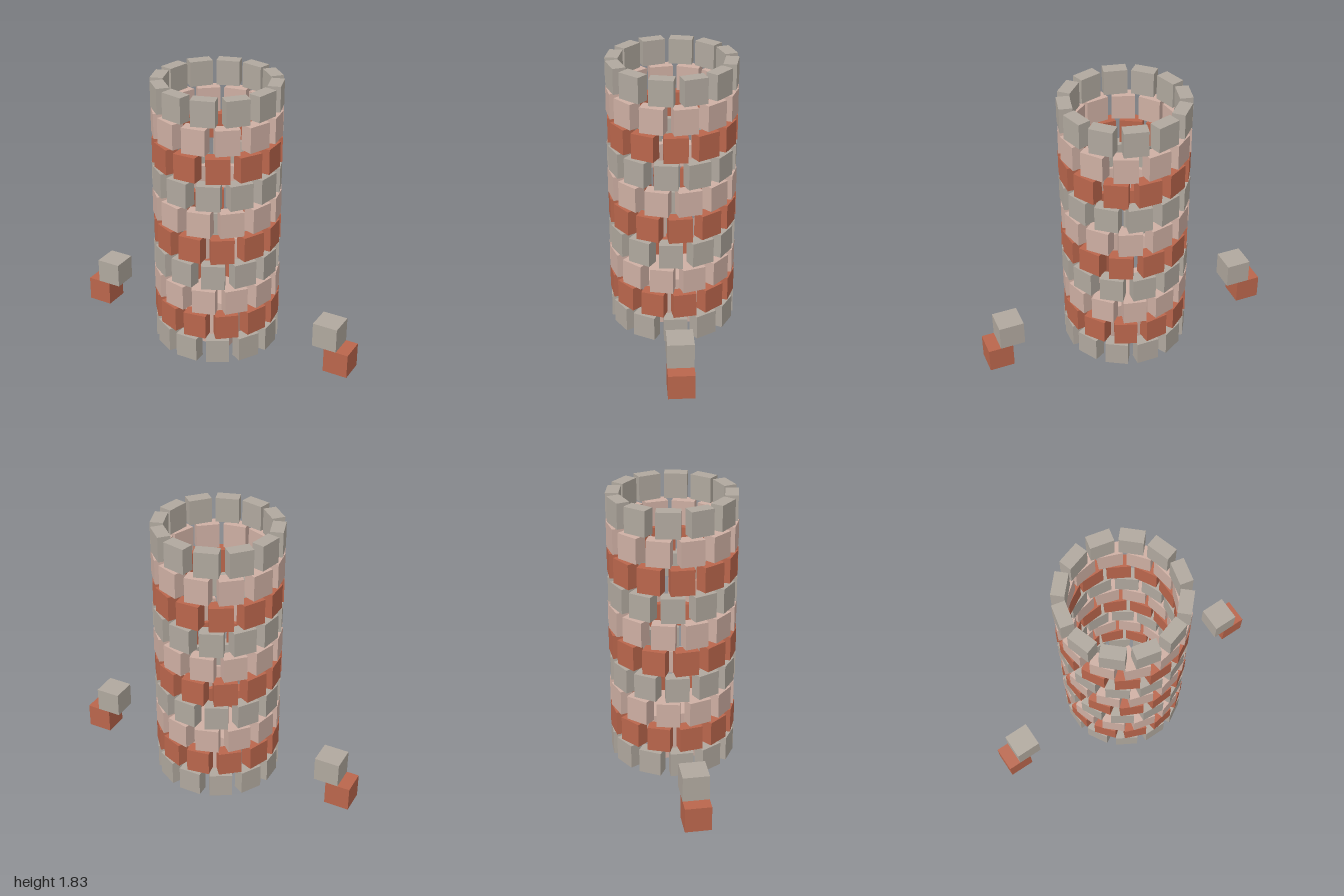
import * as THREE from 'three';

const U = 1 / 6; // side of one loose cube
const RINGS = 10;
const BLOCKS = 12;

export function createModel() {
  const model = new THREE.Group();
  model.name = 'blockTower';

  const material = (name, color) => {
    const m = new THREE.MeshStandardMaterial({ color });
    m.name = name;
    return m;
  };
  const grey = material('stoneGrey', 0xb0a89e);
  const brick = material('brickRed', 0xba664c);
  const pink = material('palePink', 0xceafa3);
  const ringColours = [grey, brick, pink];

  const add = (parent, name, geometry, mat, x, y, z) => {
    const mesh = new THREE.Mesh(geometry, mat);
    mesh.name = name;
    mesh.position.set(x, y, z);
    parent.add(mesh);
    return mesh;
  };

  // Tower: stacked rings of separate blocks, each ring turned a little further
  const blockGeometry = new THREE.BoxGeometry(0.9 * U, 0.165, 0.5 * U);
  const radius = 2.2 * U;
  for (let i = 0; i < RINGS; i++) {
    const ring = new THREE.Group();
    ring.name = `ring${i + 1}`;
    ring.position.y = 0.0955 + i * 1.1 * U;
    ring.rotation.y = i * 0.15;
    for (let j = 0; j < BLOCKS; j++) {
      const a = (j / BLOCKS) * Math.PI * 2;
      const block = add(ring, 'wallBlock', blockGeometry, ringColours[i % 3],
        Math.sin(a) * radius, 0, Math.cos(a) * radius);
      block.rotation.y = a;
    }
    model.add(ring);
  }

  // Large cube standing inside the tower
  add(model, 'innerCube', new THREE.BoxGeometry(2 * U, 2 * U, 2 * U), pink, 0, U, 0);

  // Two loose cubes stacked in a step on each side
  const cube = new THREE.BoxGeometry(U, U, U);
  for (const side of [1, -1]) {
    const label = side > 0 ? 'left' : 'right';
    add(model, `${label}LowerCube`, cube, brick, side * 5.5 * U, 0.5 * U, 0);
    add(model, `${label}UpperCube`, cube, grey, side * 5 * U, 1.5 * U, 0);
  }

  return model;
}
